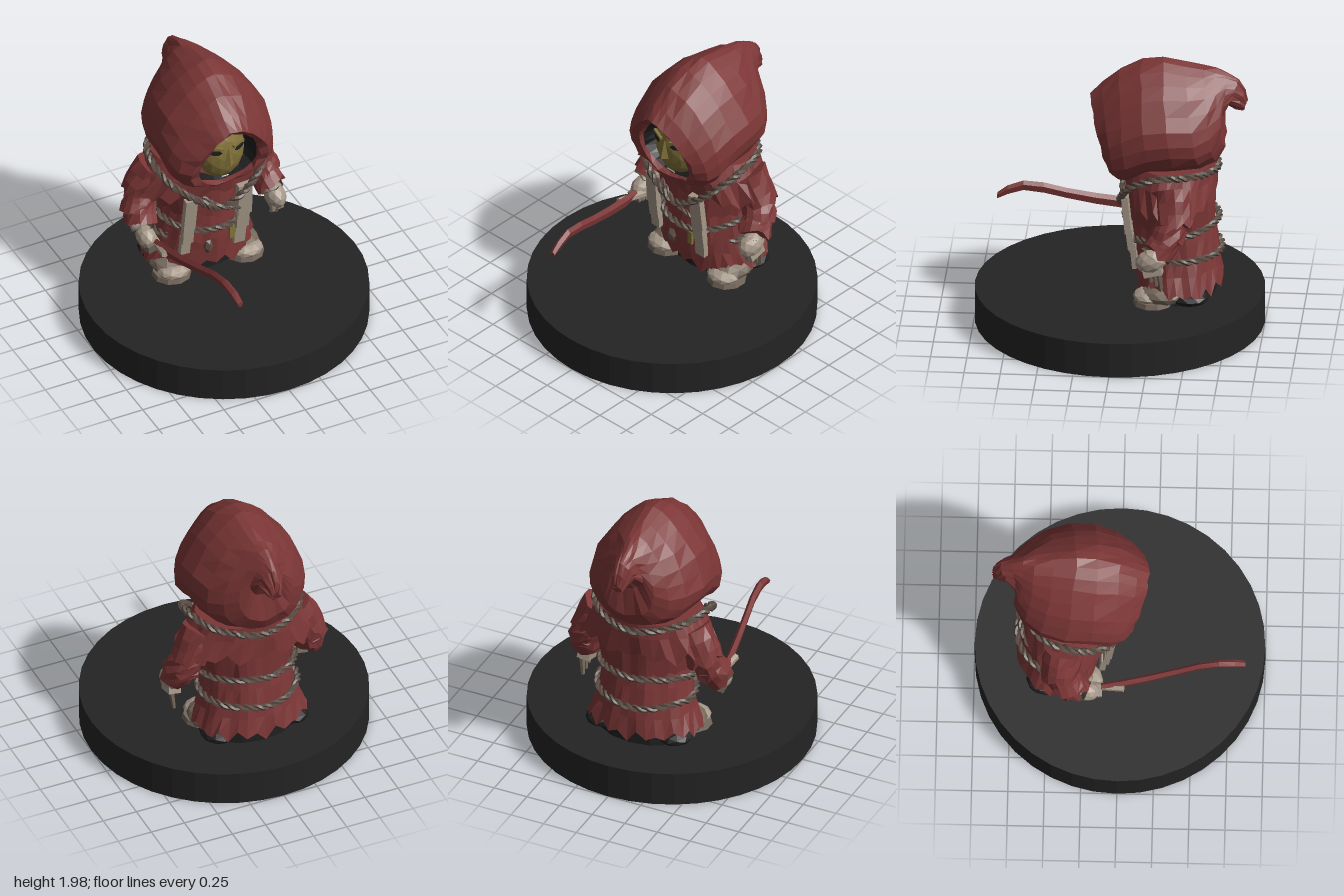
import * as THREE from 'three';

const mat = (name, color, side = THREE.FrontSide) =>
  Object.assign(new THREE.MeshStandardMaterial({ color, side, flatShading: true }), { name });

// Seeded random in -1..1
function makeRandom(seed) {
  let s = seed;
  return () => ((s = (s * 16807) % 2147483647) / 2147483647) * 2 - 1;
}

// Skin a list of closed rings; capStart / capEnd close the ends with a fan
function loft(rings, capStart = false, capEnd = false) {
  const n = rings[0].length, pos = [], idx = [];
  rings.forEach(r => r.forEach(p => pos.push(p.x, p.y, p.z)));
  for (let j = 0; j < rings.length - 1; j++)
    for (let i = 0; i < n; i++) {
      const a = j * n + i, b = j * n + (i + 1) % n;
      idx.push(a, b, a + n, b, b + n, a + n);
    }
  const cap = (j, flip) => {
    const c = new THREE.Vector3();
    rings[j].forEach(p => c.addScaledVector(p, 1 / n));
    const k = pos.length / 3;
    pos.push(c.x, c.y, c.z);
    for (let i = 0; i < n; i++) {
      const a = j * n + i, b = j * n + (i + 1) % n;
      idx.push(...(flip ? [k, b, a] : [k, a, b]));
    }
  };
  if (capStart) cap(0, true);
  if (capEnd) cap(rings.length - 1, false);
  const g = new THREE.BufferGeometry();
  g.setAttribute('position', new THREE.Float32BufferAttribute(pos, 3));
  g.setIndex(idx);
  g.computeVertexNormals();
  return g;
}

export function createModel() {
  const root = new THREE.Group();
  const rand = makeRandom(77);
  const V = (x, y, z) => new THREE.Vector3(x, y, z);
  const red = mat('red cloth', 0x7c3636, THREE.DoubleSide);
  const black = mat('black lining', 0x1d1d1d, THREE.DoubleSide);
  const stone = mat('base black', 0x242424);
  const gold = mat('mask gold', 0x83733a);
  const cream = mat('cream leather', 0xa59788);
  const brown = mat('rope brown', 0x5a4c43);
  const boot = mat('boot leather', 0x75685b);

  const add = (name, geo, material, p = [0, 0, 0], s = [1, 1, 1], r = [0, 0, 0]) => {
    const m = new THREE.Mesh(geo, material);
    m.name = name;
    m.position.set(...p);
    m.scale.set(...s);
    m.rotation.set(...r);
    root.add(m);
    return m;
  };
  const blob = (detail = 1) => new THREE.IcosahedronGeometry(1, detail);
  const box = (w, h, d) => new THREE.BoxGeometry(w, h, d);

  // Display base
  const base = add('base', new THREE.CylinderGeometry(1, 1, 0.25, 40), stone, [0, 0.125, 0]);
  base.geometry.computeVertexNormals();

  // Hood: slanted egg-shaped rings [zTop, yTop, zBottom, yBottom, halfWidth]
  const eggRing = ([zt, yt, zb, yb, w], noise = 0.008, n = 24) =>
    Array.from({ length: n }, (_, i) => {
      const a = i / n * Math.PI * 2, c = Math.cos(a), t = (1 - c) / 2;
      return V(w * Math.sin(a) * (0.95 - 0.38 * c) + noise * rand(),
        yt + (yb - yt) * t + noise * rand(), zt + (zb - zt) * t + noise * rand());
    });
  const innerRim = eggRing([0.16, 1.65, 0.04, 1.15, 0.23], 0.01);
  const midLining = eggRing([0.08, 1.64, 0.0, 1.15, 0.235]);
  const hoodRings = [
    [0.2, 1.69, 0.03, 1.13, 0.29], [0.12, 1.77, -0.02, 1.10, 0.36], [0, 1.87, -0.08, 1.11, 0.4],
    [-0.15, 1.95, -0.22, 1.17, 0.42], [-0.3, 1.97, -0.4, 1.19, 0.415], [-0.45, 1.945, -0.58, 1.2, 0.37],
    [-0.58, 1.92, -0.68, 1.24, 0.29], [-0.66, 1.9, -0.73, 1.34, 0.2], [-0.74, 1.87, -0.7, 1.55, 0.12],
    [-0.82, 1.83, -0.75, 1.64, 0.085], [-0.865, 1.76, -0.8, 1.615, 0.06], [-0.88, 1.68, -0.85, 1.6, 0.035],
  ].map(r => eggRing(r));
  add('hood', loft([midLining, innerRim, ...hoodRings], false, true), red);
  add('hoodLining', loft([midLining, eggRing([-0.12, 1.6, -0.12, 1.18, 0.22])], false, true), black);

  // Mask with nose, eyes and chin plate
  add('mask', blob(2), gold, [0, 1.38, -0.06], [0.175, 0.235, 0.13]);
  add('nose', new THREE.ConeGeometry(0.036, 0.15, 4), gold, [0, 1.4, 0.075]);
  add('chinPlate', box(0.05, 0.04, 0.008), cream, [0, 1.175, 0.01], undefined, [0.7, 0, 0]);
  for (const s of [-1, 1]) {
    const eye = add('eye', new THREE.CircleGeometry(0.05, 6), black,
      [s * 0.092, 1.435, 0.054], [1, 0.45, 1], [-0.12, s * 0.4, s * 0.12]);
    eye.material = black;
    add('brow', box(0.1, 0.02, 0.02), gold, [s * 0.085, 1.465, 0.05], undefined, [0, s * 0.35, s * 0.15]);
  }

  // Robe tiers: rings [y, rx, rz, zc], last ring is a ragged hem
  const tier = (rows, jag, n = 36) => loft(rows.map(([y, rx, rz, zc], j) => {
    const hem = j === rows.length - 1;
    return Array.from({ length: n }, (_, i) => {
      const a = i / n * Math.PI * 2;
      const f = 1 + 0.025 * rand() + (j ? 0.02 * Math.cos(a * 9) : 0);
      return V(rx * f * Math.sin(a), y + (hem ? jag * (i % 2 ? 0.6 : -0.6) + jag * 0.6 * rand() : 0),
        zc + rz * f * Math.cos(a));
    });
  }), true);
  add('underskirt', new THREE.CylinderGeometry(0.3, 0.34, 0.2, 14), black, [0, 0.35, -0.43], [1, 1, 0.7]);
  add('lowerSkirt', tier([[0.63, 0.32, 0.28, -0.38], [0.47, 0.36, 0.29, -0.4], [0.34, 0.41, 0.3, -0.42]], 0.05), red);
  add('middleSkirt', tier([[0.88, 0.29, 0.26, -0.37], [0.7, 0.315, 0.285, -0.38], [0.57, 0.335, 0.3, -0.39]], 0.03), red);
  add('tunic', tier([[1.2, 0.33, 0.29, -0.35], [1, 0.36, 0.3, -0.36], [0.8, 0.32, 0.3, -0.36]], 0.035), red);
  add('mantle', tier([[1.24, 0.36, 0.3, -0.36], [1.13, 0.42, 0.32, -0.35], [0.98, 0.52, 0.3, -0.37]], 0.05), red);

  // Two-strand ropes twisted around a curve
  const rope = (name, pts, closed, r = 0.02) => {
    const curve = new THREE.CatmullRomCurve3(pts, closed);
    const n = 144, twists = Math.round(curve.getLength() / 0.13);
    const { normals, binormals } = curve.computeFrenetFrames(n, closed);
    for (const phase of [0, Math.PI]) {
      const strand = [];
      for (let i = 0; i < n + (closed ? 0 : 1); i++) {
        const a = phase + i / n * twists * Math.PI * 2;
        strand.push(curve.getPointAt(i / n)
          .addScaledVector(normals[i], r * 0.7 * Math.cos(a)).addScaledVector(binormals[i], r * 0.7 * Math.sin(a)));
      }
      add(name, new THREE.TubeGeometry(new THREE.CatmullRomCurve3(strand, closed), n, r * 0.8, 5, closed), brown);
    }
  };
  rope('neckRope', [V(0, 0.89, -0.02), V(0.2, 1.0, -0.02), V(0.36, 1.15, -0.1), V(0.41, 1.23, -0.28),
    V(0.31, 1.22, -0.54), V(0, 1.18, -0.68), V(-0.31, 1.22, -0.54), V(-0.41, 1.23, -0.28),
    V(-0.36, 1.15, -0.1), V(-0.22, 1.03, -0.02)], true);
  const loop = (a, y, rx, rz, zc) => V(rx * Math.sin(a), y, zc + rz * Math.cos(a));
  rope('beltRope', Array.from({ length: 16 }, (_, i) => {
    const a = i / 16 * Math.PI * 2;
    return loop(a, 0.74 - 0.06 * Math.cos(a) + 0.01 * rand(), 0.335, 0.31, -0.375);
  }), true, 0.018);
  rope('hipRope', Array.from({ length: 13 }, (_, i) =>
    loop(Math.PI * (0.35 + 1.3 * i / 12), 0.575 + 0.012 * rand(), 0.35, 0.315, -0.39)), false, 0.018);
  rope('chestCord', [V(-0.14, 1.0, -0.04), V(0, 0.88, -0.03), V(0.14, 0.82, -0.04)], false, 0.012);

  // Hanging straps, pouch and tag on the front
  for (const [x, w, low] of [[-0.235, 0.09, 0.51], [0.185, 0.105, 0.47]]) {
    const mid = 0.75;
    add('strapUpper', box(w, 1.0 - mid + 0.02, 0.045), cream, [x, (1 + mid) / 2, -0.06], undefined, [0.1, 0, x * 0.15]);
    add('strapMiddle', box(w * 0.9, 0.15, 0.045), cream, [x - 0.005, 0.69, -0.085], undefined, [0.12, 0, 0]);
    add('strapLower', box(w * 0.8, 0.66 - low, 0.04), cream, [x - 0.012, (0.66 + low) / 2, -0.11], undefined, [0.1, 0, -0.04]);
  }
  add('pouch', blob(0), brown, [-0.08, 0.53, -0.08], [0.035, 0.06, 0.03]);
  add('tag', box(0.04, 0.1, 0.02), gold, [0.1, 0.6, -0.08]);

  // Sleeves: overlapping ragged cuffs along the bent arm
  const cuff = (a, b, r0, r1, jag) => {
    const dir = b.clone().sub(a), q = new THREE.Quaternion().setFromUnitVectors(V(0, -1, 0), dir.clone().normalize());
    const n = 14;
    return loft([0, 0.35, 0.7, 1].map((t, j) => Array.from({ length: n }, (_, i) => {
      const ang = i / n * Math.PI * 2, r = (r0 + (r1 - r0) * t) * (1 + 0.1 * rand());
      return V(r * Math.sin(ang), j === 3 ? jag * rand() : 0, r * Math.cos(ang))
        .applyQuaternion(q).add(a).addScaledVector(dir, t);
    })), true, true);
  };
  for (const s of [-1, 1]) {
    const P = (x, y, z) => V(s * x, y, z);
    add('upperSleeve', cuff(P(0.34, 1.12, -0.38), P(0.46, 0.9, -0.41), 0.14, 0.125, 0.04), red);
    add('elbowSleeve', cuff(P(0.43, 0.97, -0.41), P(0.485, 0.81, -0.36), 0.1, 0.125, 0.03), red);
    add('foreSleeve', cuff(P(0.45, 0.88, -0.4), P(0.5, 0.73, -0.29), 0.1, 0.115, 0.03), red);
    add('innerCuff', cuff(P(0.48, 0.8, -0.34), P(0.5, 0.7, -0.26), 0.08, 0.085, 0.01), brown);

    // Boots
    add('bootToe', blob(), cream, [s * 0.28, 0.305, -0.22], [0.12, 0.055, 0.11]);
    add('bootBody', blob(), boot, [s * 0.28, 0.32, -0.32], [0.13, 0.075, 0.16]);
    add('sole', new THREE.CylinderGeometry(0.13, 0.14, 0.035, 10), boot, [s * 0.28, 0.267, -0.25], [1, 1, 1]);
    add('heel', blob(), black, [s * 0.28, 0.3, -0.5], [0.12, 0.055, 0.14]);
  }

  // Left hand, hanging open
  add('leftGlove', blob(), cream, [0.515, 0.665, -0.25], [0.075, 0.085, 0.11], [0.3, 0, 0.1]);
  add('leftPalm', box(0.09, 0.11, 0.13), cream, [0.515, 0.62, -0.26], undefined, [0.25, 0, 0.15]);
  for (let i = 0; i < 4; i++)
    add('leftFinger', new THREE.CylinderGeometry(0.02, 0.014, 0.12 - 0.015 * i, 5), boot,
      [0.53 - 0.006 * i, 0.515 + 0.02 * i, -0.32 + 0.035 * i], undefined, [0.1, 0, -0.1]);

  // Right hand, gripping the weapon
  add('rightGlove', blob(), cream, [-0.49, 0.66, -0.22], [0.07, 0.075, 0.095], [0.3, 0, 0]);
  for (let i = 0; i < 4; i++)
    add('rightFinger', box(0.085, 0.07, 0.03), boot, [-0.48, 0.6 + 0.008 * i, -0.24 + 0.035 * i], undefined, [0.2, 0.1, 0.2]);
  add('grip', new THREE.CylinderGeometry(0.026, 0.03, 0.28, 6), cream, [-0.455, 0.655, -0.1], undefined, [Math.PI / 2 - 0.15, 0, 0.12]);

  // Curved blade: diamond sections [x, y, z, halfWidth, halfHeight]
  const blade = [
    [-0.46, 0.67, -0.12, 0.02, 0.03], [-0.44, 0.68, 0.02, 0.024, 0.04], [-0.41, 0.715, 0.2, 0.024, 0.038],
    [-0.375, 0.765, 0.4, 0.022, 0.035], [-0.35, 0.81, 0.55, 0.022, 0.036], [-0.335, 0.83, 0.69, 0.024, 0.033],
    [-0.318, 0.8, 0.8, 0.025, 0.03], [-0.308, 0.76, 0.87, 0.02, 0.02],
  ].map(([x, y, z, w, h]) => [[0, h], [w, 0.3 * h], [w * 0.6, -h], [-w * 0.6, -h], [-w, 0.3 * h]]
    .map(([dx, dy]) => V(x + dx, y + dy, z)));
  add('blade', loft(blade, true, true), red);

  return root;
}
